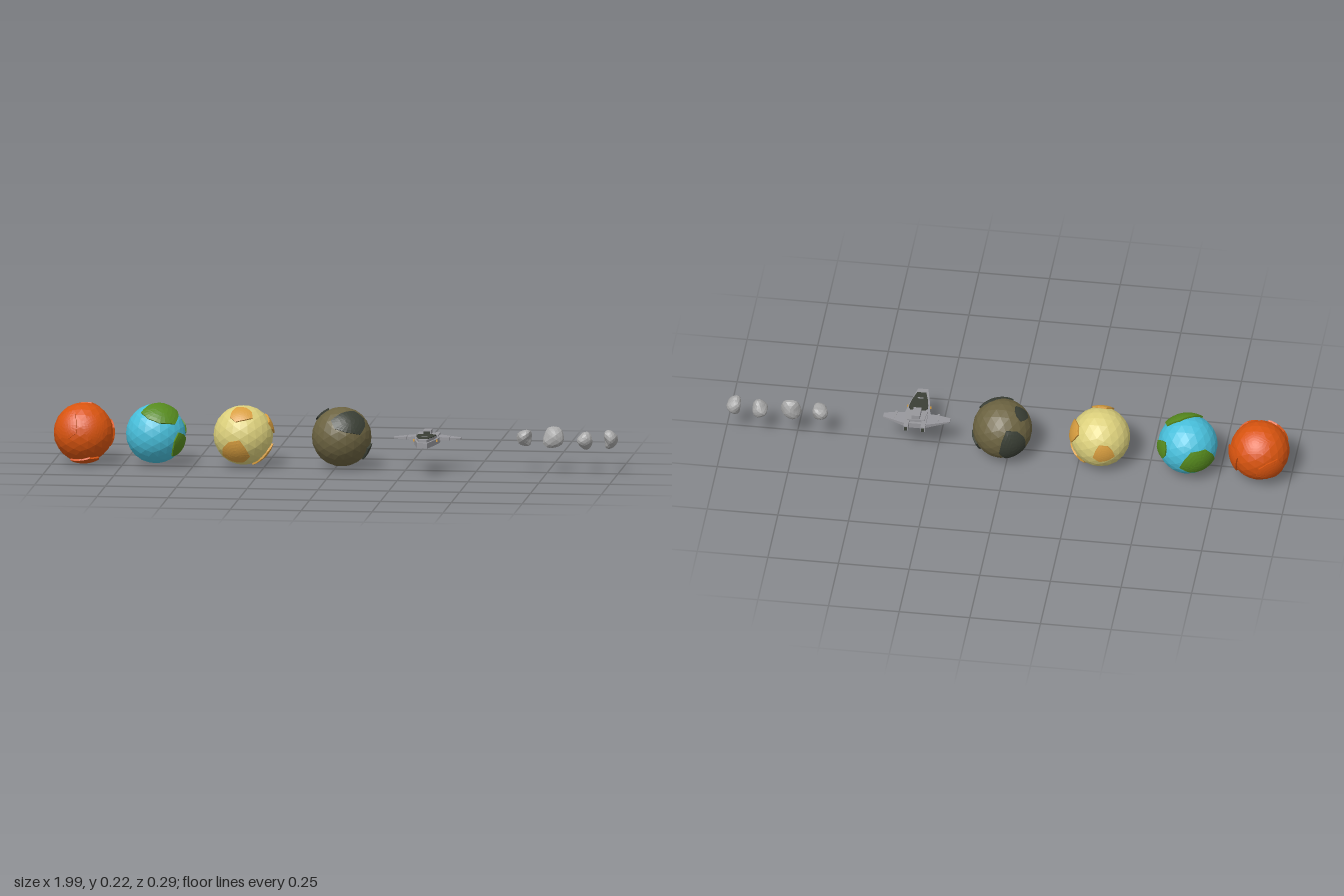
import * as THREE from 'three';

const mat = (name, color, side = THREE.FrontSide) => {
  const m = new THREE.MeshStandardMaterial({ color, flatShading: true, side });
  m.name = name;
  return m;
};

const RADIUS = 0.105, CENTRE_Y = 0.113, CENTRE_Z = -0.033;

// Raised land plate on a sphere: outline around direction d, half width w, half height h
function patchGeometry(d, w, h, seed) {
  const n = new THREE.Vector3(...d).normalize();
  const ref = Math.abs(n.y) > 0.9 ? new THREE.Vector3(0, 0, -1) : new THREE.Vector3(0, 1, 0);
  const right = ref.clone().cross(n).normalize();
  const up = n.clone().cross(right);
  const corners = 8, sub = 3, rings = 4, count = corners * sub;
  const corner = (i) => {
    const a = ((i % corners) + 0.5) / corners * Math.PI * 2;
    const r = 1.06 + 0.16 * Math.sin((i % corners) * 2.3 + seed * 1.7);
    return [Math.cos(a) * r * w, Math.sin(a) * r * h];
  };
  const point = (k, t, rad) => {
    const i = Math.floor(k / sub), f = (k % sub) / sub;
    const a = corner(i), b = corner(i + 1);
    return n.clone()
      .addScaledVector(right, (a[0] + (b[0] - a[0]) * f) * t)
      .addScaledVector(up, (a[1] + (b[1] - a[1]) * f) * t)
      .normalize().multiplyScalar(rad);
  };
  const pos = [], idx = [];
  // Rings from the middle out, then the side wall
  for (let r = 0; r <= rings + 1; r++) {
    for (let k = 0; k < count; k++) {
      const p = point(k, Math.min(r / rings, 1), r > rings ? RADIUS * 0.96 : RADIUS * 1.05);
      pos.push(p.x, p.y, p.z);
    }
  }
  for (let r = 0; r <= rings; r++) {
    for (let k = 0; k < count; k++) {
      const a = r * count + k, b = r * count + (k + 1) % count;
      if (r > 0) idx.push(a, a + count, b);
      idx.push(b, a + count, b + count);
    }
  }
  const g = new THREE.BufferGeometry();
  g.setAttribute('position', new THREE.Float32BufferAttribute(pos, 3));
  g.setIndex(idx);
  g.computeVertexNormals();
  return g;
}

function planet(name, x, base, land, patches) {
  const g = new THREE.Group();
  g.name = name;
  const ball = new THREE.Mesh(new THREE.IcosahedronGeometry(RADIUS, 3), base);
  ball.name = 'globe';
  g.add(ball);
  patches.forEach(([d, w, h], i) => {
    const m = new THREE.Mesh(patchGeometry(d, w, h, i + x * 5), land);
    m.name = 'landPlate';
    g.add(m);
  });
  g.position.set(x, CENTRE_Y, CENTRE_Z);
  return g;
}

// Flat slab from an outline in x and z, between two heights
function slab(name, outline, y0, y1, material) {
  const shape = new THREE.Shape(outline.map(([x, z]) => new THREE.Vector2(x, -z)));
  const geo = new THREE.ExtrudeGeometry(shape, { depth: y1 - y0, bevelEnabled: false });
  geo.rotateX(-Math.PI / 2).translate(0, y0, 0);
  const m = new THREE.Mesh(geo, material);
  m.name = name;
  return m;
}

const mirrored = (half) => [...half, ...half.map(([x, z]) => [-x, z]).reverse()];

function box(name, w, h, d, x, y, z, material) {
  const m = new THREE.Mesh(new THREE.BoxGeometry(w, h, d), material);
  m.name = name;
  m.position.set(x, y, z);
  return m;
}

function spaceship(hullMat, darkMat, accentMat) {
  const g = new THREE.Group();
  g.name = 'spaceship';
  g.add(slab('hull', mirrored([[0.02, -0.06], [0.042, -0.05], [0.045, 0.0], [0.036, 0.06], [0.018, 0.145]]), 0.102, 0.121, hullMat));
  g.add(slab('upperDeck', mirrored([[0.03, -0.05], [0.036, 0.0], [0.03, 0.06], [0.014, 0.128]]), 0.121, 0.130, hullMat));
  g.add(slab('deckPanel', mirrored([[0.027, 0.008], [0.034, 0.02], [0.029, 0.06], [0.016, 0.108]]), 0.130, 0.133, darkMat));
  g.add(box('cockpit', 0.028, 0.016, 0.05, 0, 0.137, -0.022, hullMat));
  g.add(box('cockpitWindow', 0.022, 0.009, 0.004, 0, 0.137, 0.004, darkMat));
  g.add(box('noseVent', 0.02, 0.003, 0.006, 0, 0.132, 0.075, hullMat));
  for (const s of [-1, 1]) {
    // Swept wing, thinned towards the tip
    const wing = slab('wing', [[0.03, -0.068], [0.118, -0.03], [0.118, -0.008], [0.075, 0.0], [0.03, 0.0]]
      .map(([x, z]) => [s * x, z]), -0.007, 0.007, hullMat);
    const p = wing.geometry.attributes.position;
    for (let i = 0; i < p.count; i++) p.setY(i, 0.116 + p.getY(i) * (1.25 - Math.abs(p.getX(i)) * 8));
    wing.geometry.computeVertexNormals();
    g.add(wing);
    g.add(box('engine', 0.016, 0.018, 0.085, s * 0.03, 0.118, -0.046, hullMat));
    g.add(box('engineNozzle', 0.011, 0.012, 0.006, s * 0.03, 0.118, -0.09, darkMat));
    g.add(box('frontLight', 0.012, 0.008, 0.004, s * 0.037, 0.116, 0.046, accentMat));
    g.add(box('wingPod', 0.008, 0.01, 0.04, s * 0.075, 0.117, -0.015, hullMat));
  }
  g.position.x = 0.326;
  return g;
}

function asteroid(x, y, size, seed, bend, material) {
  const geo = new THREE.IcosahedronGeometry(1, 2);
  const p = geo.attributes.position, v = new THREE.Vector3();
  for (let i = 0; i < p.count; i++) {
    v.fromBufferAttribute(p, i);
    const lump = 0.92 + 0.13 * Math.sin(2.6 * v.x + seed * 2.1) * Math.cos(2.9 * v.y + seed)
      + 0.12 * Math.sin(3.1 * v.z + 2.2 * v.y + seed * 3.3);
    v.multiplyScalar(lump);
    v.x = v.x * (1 - 0.3 * Math.abs(bend)) + bend * (0.35 - v.y * v.y);
    p.setXYZ(i, v.x * size[0], v.y * size[1], v.z * size[2]);
  }
  geo.computeVertexNormals();
  const m = new THREE.Mesh(geo, material);
  m.name = 'asteroid';
  m.position.set(x, y, -0.037);
  return m;
}

export function createModel() {
  const red = mat('lava orange', 0xd9540f);
  const blue = mat('ocean blue', 0x48bfdb);
  const green = mat('land green', 0x568a1e);
  const sand = mat('pale sand', 0xdcd07c);
  const amber = mat('amber', 0xd79d3f);
  const olive = mat('olive brown', 0x6c6341);
  const dark = mat('dark slate', 0x3a3f35);
  const rock = mat('rock grey', 0xa6a6a6);
  const steel = mat('hull grey', 0x97979c);

  const model = new THREE.Group();
  model.name = 'spaceSet';
  model.add(
    planet('redPlanet', -0.89, red, red, [
      [[-0.5, 0.35, 0.8], 0.45, 0.5], [[0.45, 0.3, 0.84], 0.4, 0.45], [[0.05, 0.75, -0.66], 0.5, 0.35],
      [[0.1, -0.97, 0.2], 0.5, 0.45], [[-0.5, -0.2, -0.83], 0.5, 0.4], [[0.88, -0.05, -0.45], 0.4, 0.5],
    ]),
    planet('oceanPlanet', -0.635, blue, green, [
      [[0.28, 0.83, 0.46], 0.75, 0.58], [[0.85, -0.3, 0.43], 0.35, 0.42],
      [[-0.5, -0.12, -0.85], 0.7, 0.48], [[0.82, 0.15, -0.57], 0.3, 0.3],
    ]),
    planet('sandPlanet', -0.326, sand, amber, [
      [[0, 0.78, 0.6], 0.38, 0.33], [[-0.18, -0.5, 0.85], 0.48, 0.47], [[0.88, 0.36, -0.25], 0.45, 0.35],
      [[0.7, -0.67, -0.1], 0.45, 0.5], [[-0.24, 0, -0.97], 0.35, 0.32],
    ]),
    planet('darkPlanet', 0.021, olive, dark, [
      [[0.36, 0.6, 0.68], 0.66, 0.46], [[0.87, -0.48, -0.12], 0.44, 0.3],
      [[-0.48, -0.08, -0.87], 0.5, 0.65], [[-0.65, 0.74, -0.12], 0.25, 0.27],
    ]),
    spaceship(steel, dark, amber),
    asteroid(0.667, 0.123, [0.032, 0.033, 0.034], 1, -0.2, rock),
    asteroid(0.768, 0.118, [0.039, 0.044, 0.031], 2, 0, rock),
    asteroid(0.88, 0.112, [0.03, 0.03, 0.03], 3.4, 0, rock),
    asteroid(0.968, 0.122, [0.03, 0.034, 0.03], 5, 0.3, rock),
  );
  return model;
}
